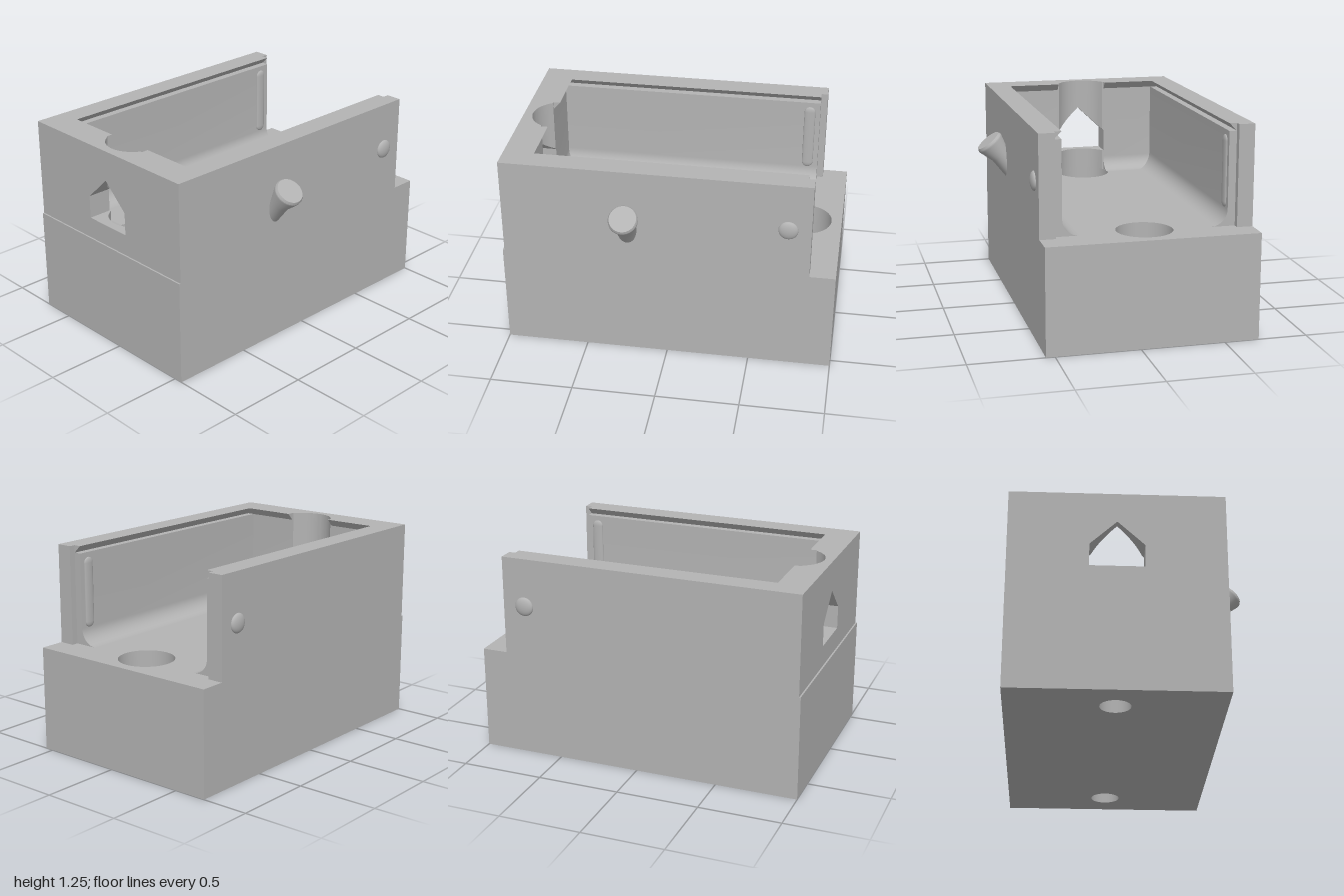
import * as THREE from 'three';
import { toCreasedNormals } from 'three/addons/utils/BufferGeometryUtils.js';

export function createModel() {
  const model = new THREE.Group();
  model.name = 'slidingLidBox';
  const body = new THREE.Group();
  body.name = 'boxBody';
  body.position.z = -0.077; // the body is symmetric about this plane
  model.add(body);

  const grey = new THREE.MeshStandardMaterial({ color: 0xb3b3b3 });
  grey.name = 'grey plastic';

  const HALF = 0.63, FLOOR = 0.64, TOP = 1.245, LIP = 1.2;
  const BORE = 0.167, BORE_X = 0.77, SLOT = 0.16;

  function add(name, geometry) {
    const mesh = new THREE.Mesh(geometry, grey);
    mesh.name = name;
    body.add(mesh);
    return mesh;
  }
  function extrude(shape, depth) {
    const g = new THREE.ExtrudeGeometry(shape, { depth, bevelEnabled: false, curveSegments: 32 });
    return toCreasedNormals(g, 0.5);
  }
  const polygon = (pts) => new THREE.Shape(pts.map(([a, b]) => new THREE.Vector2(a, b)));

  // Base slabs with screw holes, counterbored above
  function slab(name, y0, y1, radius) {
    const s = polygon([[-1, -HALF], [1, -HALF], [1, HALF], [-1, HALF]]);
    for (const x of [-BORE_X, BORE_X]) {
      s.holes.push(new THREE.Path().absarc(x, 0, radius, 0, Math.PI * 2, true));
    }
    add(name, extrude(s, y1 - y0).rotateX(-Math.PI / 2).translate(0, y0, 0));
  }
  slab('baseBottom', 0, 0.2, 0.09);
  slab('baseCounterbored', 0.2, FLOOR, BORE);

  // Quarter-round fillet from a wall face down to the floor
  function fillet(face, dir, r) {
    const pts = [];
    for (let i = 0; i <= 10; i++) {
      const a = (i / 10) * Math.PI / 2;
      pts.push([face + dir * r * (1 - Math.cos(a)), FLOOR + r * (1 - Math.sin(a))]);
    }
    return pts;
  }

  // Side walls with dovetail groove, stepped end, inner ridge and round snap
  for (const s of [-1, 1]) {
    const side = s > 0 ? 'left' : 'right';
    const profile = [[HALF, FLOOR], [HALF, TOP], [0.49, TOP], [0.535, LIP], [0.49, LIP],
      ...fillet(0.49, -1, 0.1)];
    const wall = polygon(profile.map(([d, y]) => [d * s, y]));
    add(side + 'SideWall', extrude(wall, 1.655).rotateY(Math.PI / 2).translate(-0.85, 0, 0));

    const stop = new THREE.BoxGeometry(0.04, TOP - FLOOR, HALF - 0.535);
    add(side + 'WallEnd', stop).position.set(0.825, (TOP + FLOOR) / 2, -s * (HALF + 0.535) / 2);

    const ridge = add(side + 'InnerRidge', new THREE.CapsuleGeometry(0.035, 0.36, 6, 16));
    ridge.scale.z = 0.35;
    ridge.position.set(0.74, 0.955, -s * 0.49);

    const snap = add(side + 'SnapBump', new THREE.SphereGeometry(0.058, 32, 16));
    snap.scale.z = 0.4;
    snap.position.set(0.71, 0.95, -s * HALF);
  }

  // End wall either side of the bore, with overhanging lip
  const endProfile = polygon([[-0.99, FLOOR], [-0.99, TOP], [-0.805, TOP], [-0.847, LIP],
    ...fillet(-0.847, 1, 0.09)]);
  for (const z of [-HALF, SLOT]) {
    add('endWall', extrude(endProfile, HALF - SLOT).translate(0, 0, z));
  }

  // End wall behind the bore: four-cornered sections swept across the width
  function boredWall(name, low, high) {
    const N = 32, pos = [];
    const section = (i) => {
      const z = -SLOT + (2 * SLOT * i) / N;
      const x = Math.min(-0.847, -BORE_X - Math.sqrt(BORE * BORE - z * z));
      return [[-0.99, low(z), z], [-0.99, high(z), z], [x, high(z), z], [x, low(z), z]];
    };
    for (let i = 0; i < N; i++) {
      const a = section(i), b = section(i + 1);
      for (let k = 0; k < 4; k++) {
        const n = (k + 1) % 4;
        pos.push(...a[k], ...b[k], ...b[n], ...a[k], ...b[n], ...a[n]);
      }
    }
    const g = new THREE.BufferGeometry();
    g.setAttribute('position', new THREE.Float32BufferAttribute(pos, 3));
    add(name, toCreasedNormals(g, 0.5));
  }
  boredWall('windowSill', () => FLOOR, () => 0.77);
  boredWall('windowGable', (z) => 1.06 - Math.abs(z) * 0.94, () => TOP);

  // Slanted peg with a flared head on the front
  const pegProfile = [[0, -0.3], [0.06, -0.3], [0.06, -0.12], [0.088, -0.025], [0.088, -0.015],
    [0.08, 0], [0, 0]].map(([r, y]) => new THREE.Vector2(r, y));
  const peg = new THREE.Mesh(toCreasedNormals(new THREE.LatheGeometry(pegProfile, 32), 0.5), grey);
  peg.name = 'frontPeg';
  peg.position.set(-0.237, 1.0, 0.66);
  peg.rotation.x = Math.atan2(0.62, 0.78);
  model.add(peg);

  return model;
}
